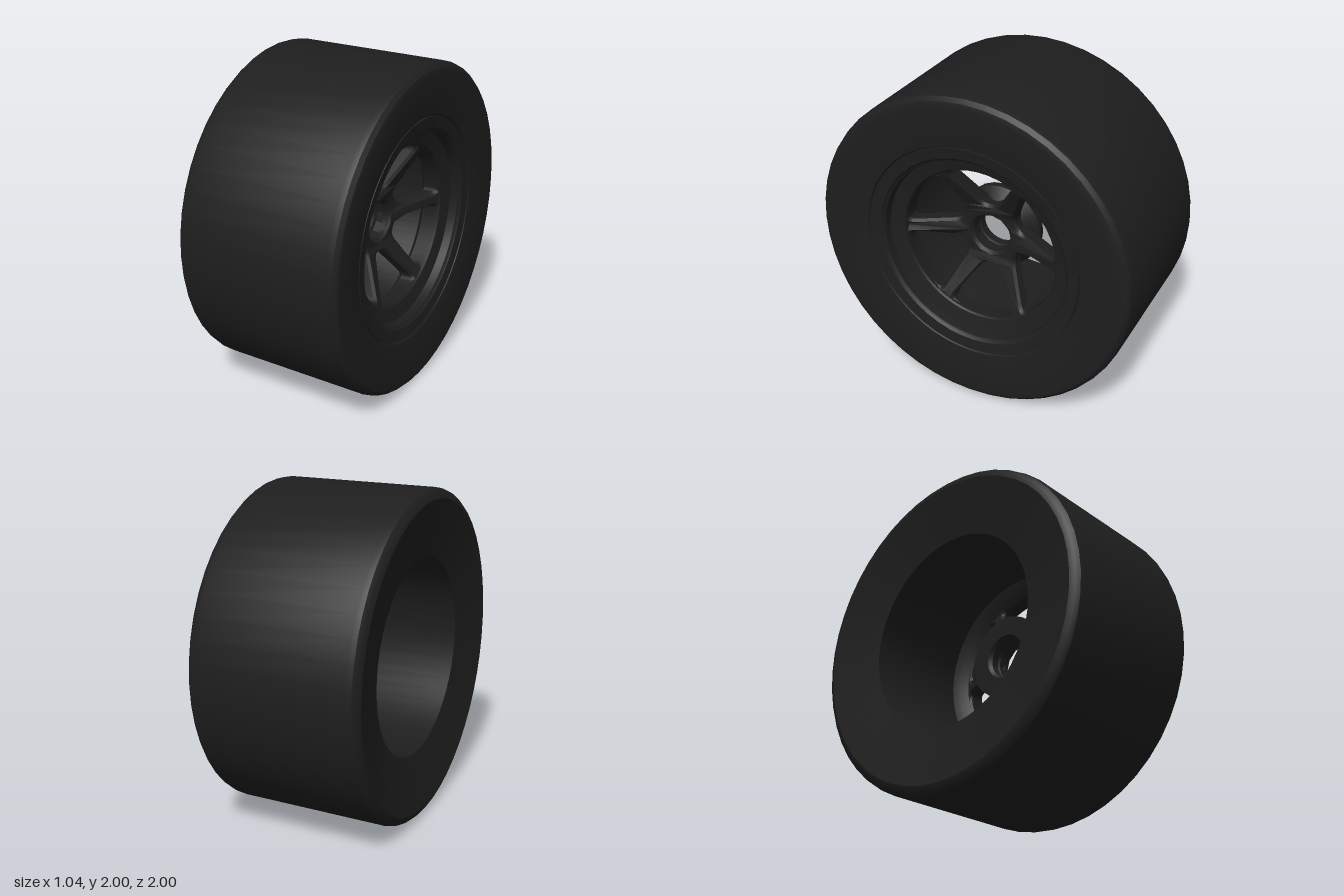
import * as THREE from 'three';
import { toCreasedNormals } from 'three/addons/utils/BufferGeometryUtils.js';

const black = new THREE.MeshStandardMaterial({ color: 0x1e1e1e });
black.name = 'black rubber and metal';

// Closed ring turned about the x axis; profile points are [radius, x]
function ring(name, profile, sides) {
  const points = profile.map(([r, x]) => new THREE.Vector2(r, x));
  points.push(points[0].clone());
  const geometry = new THREE.LatheGeometry(points, sides).rotateZ(-Math.PI / 2);
  const mesh = new THREE.Mesh(toCreasedNormals(geometry, 0.5), black);
  mesh.name = name;
  mesh.position.y = 1;
  return mesh;
}

// Closed path with every corner rounded
function roundedPath(corners, radius) {
  const path = new THREE.Path();
  const n = corners.length;
  const toward = (p, q) => p.clone().lerp(q, Math.min(radius / p.distanceTo(q), 0.45));
  corners.forEach((p, i) => {
    const a = toward(p, corners[(i + n - 1) % n]);
    const b = toward(p, corners[(i + 1) % n]);
    if (i === 0) path.moveTo(a.x, a.y);
    else path.lineTo(a.x, a.y);
    path.quadraticCurveTo(p.x, p.y, b.x, b.y);
  });
  path.closePath();
  return path;
}

// Six-spoke plate, dished toward the hub
function spokePlate() {
  const shape = new THREE.Shape();
  shape.absarc(0, 0, 0.56, 0, Math.PI * 2);
  const bore = new THREE.Path();
  bore.absarc(0, 0, 0.125, 0, Math.PI * 2, true);
  shape.holes.push(bore);
  const windowCorners = [[0.49, -25.5], [0.495, -13], [0.495, 0], [0.495, 13], [0.49, 25.5], [0.205, 13], [0.205, -13]];
  for (let i = 0; i < 6; i++) {
    const corners = windowCorners.map(([r, degrees]) => {
      const a = THREE.MathUtils.degToRad(degrees + 30 + i * 60);
      return new THREE.Vector2(r * Math.cos(a), r * Math.sin(a));
    });
    shape.holes.push(roundedPath(corners, 0.045));
  }
  const geometry = new THREE.ExtrudeGeometry(shape, {
    depth: 0.07, curveSegments: 6, bevelEnabled: true,
    bevelSize: 0.014, bevelOffset: -0.014, bevelThickness: 0.02, bevelSegments: 1,
  });
  // Slope the plate from the rim down to the hub
  const pos = geometry.attributes.position;
  for (let i = 0; i < pos.count; i++) {
    const t = (Math.hypot(pos.getX(i), pos.getY(i)) - 0.2) / 0.29;
    pos.setZ(i, pos.getZ(i) + 0.13 + 0.14 * THREE.MathUtils.clamp(t, 0, 1));
  }
  geometry.rotateY(Math.PI / 2);
  const mesh = new THREE.Mesh(toCreasedNormals(geometry, 0.5), black);
  mesh.name = 'spokes';
  mesh.position.y = 1;
  return mesh;
}

export function createModel() {
  const group = new THREE.Group();
  group.name = 'wheel';

  // Tyre with rounded shoulders and sidewalls dished toward the middle
  group.add(ring('tyre', [
    [0.6, -0.45], [0.94, -0.52], [0.97, -0.51], [0.992, -0.488], [1, -0.46],
    [1, 0.46], [0.992, 0.488], [0.97, 0.51], [0.94, 0.518],
    [0.692, 0.476], [0.686, 0.465], [0.64, 0.45], [0.6, 0.3],
  ], 48));

  // Rim lip, stepped into the dish that holds the spokes
  group.add(ring('rim', [
    [0.61, 0.2], [0.684, 0.45], [0.68, 0.474], [0.612, 0.464],
    [0.602, 0.45], [0.592, 0.445], [0.585, 0.395], [0.5, 0.372],
    [0.492, 0.36], [0.492, 0.26], [0.55, 0.22],
  ], 48));

  group.add(spokePlate());

  // Hub flaring out behind the spokes, with a stepped bore
  group.add(ring('hub', [
    [0.14, 0.04], [0.26, 0.04], [0.265, 0.09], [0.19, 0.16], [0.165, 0.21],
    [0.135, 0.21], [0.122, 0.2], [0.122, 0.17],
    [0.14, 0.16], [0.14, 0.12], [0.122, 0.11], [0.122, 0.06],
  ], 24));

  return group;
}
